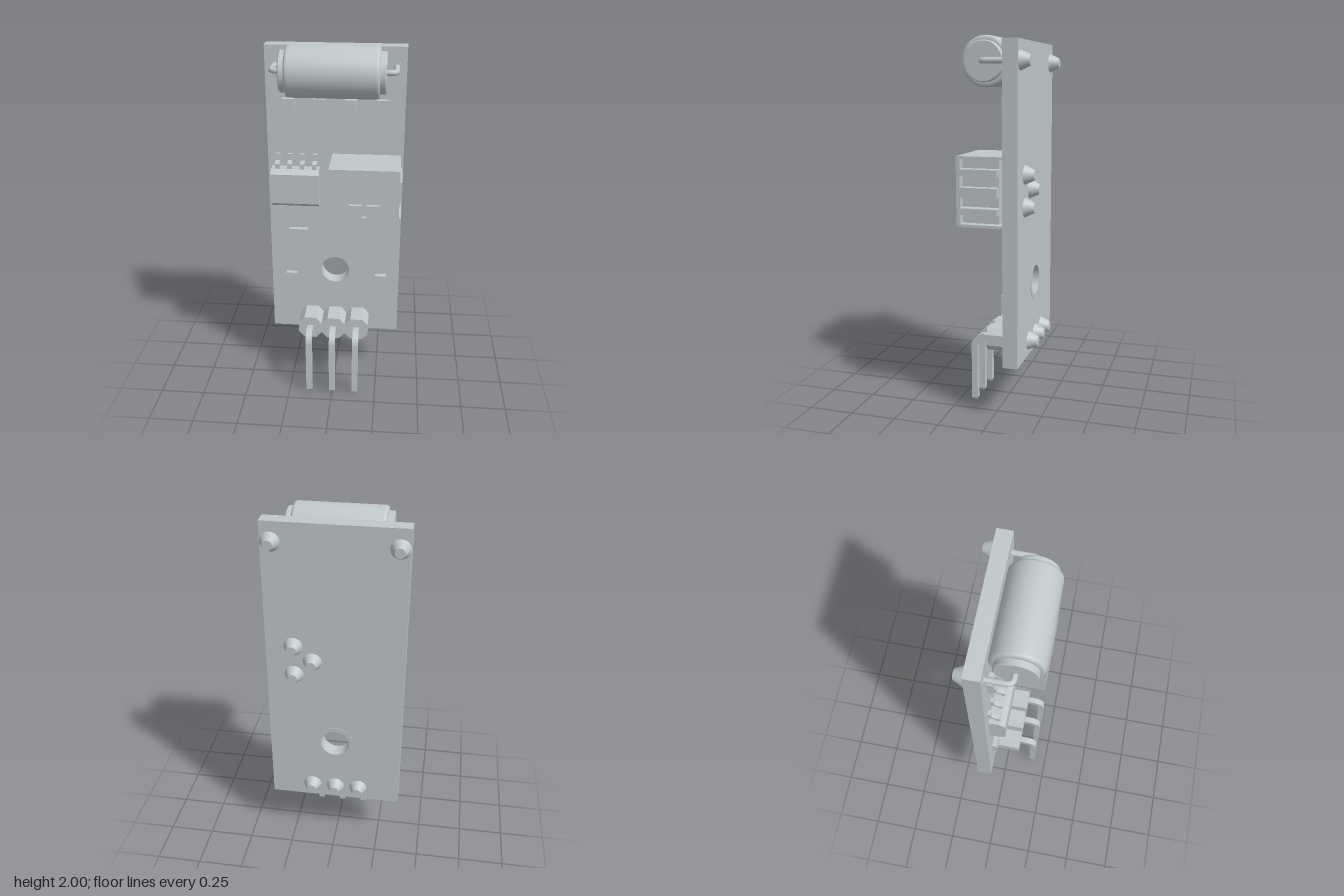
import * as THREE from 'three';
import { toCreasedNormals } from 'three/addons/utils/BufferGeometryUtils.js';

export function createModel() {
  const model = new THREE.Group();
  const grey = new THREE.MeshStandardMaterial({ color: 0xc0c8cb });
  grey.name = 'pale grey';

  const add = (name, geometry, x = 0, y = 0, z = 0) => {
    const mesh = new THREE.Mesh(geometry, grey);
    mesh.name = name;
    mesh.position.set(x, y, z);
    model.add(mesh);
    return mesh;
  };
  // Box given by its limits
  const box = (name, x0, x1, y0, y1, z0, z1) =>
    add(name, new THREE.BoxGeometry(x1 - x0, y1 - y0, z1 - z0), (x0 + x1) / 2, (y0 + y1) / 2, (z0 + z1) / 2);
  const outline = (pts) => new THREE.Shape(pts.map(([x, y]) => new THREE.Vector2(x, y)));
  const extrude = (shape, depth) =>
    toCreasedNormals(new THREE.ExtrudeGeometry(shape, { depth, bevelEnabled: false, curveSegments: 16 }), 0.6);
  // Outline drawn in (z, y), extruded along x about its centre
  const sideExtrude = (name, shape, width, x) => {
    const geometry = extrude(shape, width);
    geometry.translate(0, 0, -width / 2);
    geometry.rotateY(-Math.PI / 2);
    return add(name, geometry, x);
  };
  const FRONT = -0.065, BACK = -0.145;

  // Circuit board with mounting hole
  const board = outline([[-0.367, 0.3], [0.367, 0.3], [0.367, 1.975], [-0.367, 1.975]]);
  board.holes.push(new THREE.Path().absarc(0, 0.69, 0.08, 0, Math.PI * 2, true));
  add('board', extrude(board, FRONT - BACK), 0, 0, BACK);
  const ring = new THREE.Shape().absarc(0, 0.69, 0.105, 0, Math.PI * 2);
  ring.holes.push(new THREE.Path().absarc(0, 0.69, 0.08, 0, Math.PI * 2, true));
  add('holeRingBack', extrude(ring, 0.002), 0, 0, BACK - 0.002);

  // Solder joints on the back
  const joints = [[-0.315, 1.872], [0.315, 1.872], [0.22, 1.3], [0.12, 1.215], [0.22, 1.13],
    [-0.133, 0.38], [0, 0.38], [0.133, 0.38]];
  for (const [x, y] of joints) {
    const cone = new THREE.CylinderGeometry(0.026, 0.051, 0.053, 24);
    cone.rotateX(-Math.PI / 2);
    add('solderJoint', cone, x, y, BACK - 0.0265);
  }

  // Tilt sensor can: rounded barrel with stepped ends
  const can = [[0, -0.267], [0.1, -0.267], [0.105, -0.262], [0.105, -0.236], [0.117, -0.236], [0.125, -0.232],
    [0.129, -0.225], [0.13, -0.216]];
  const profile = [...can, ...can.map(([r, h]) => [r, -h]).reverse()].map(([r, h]) => new THREE.Vector2(r, h));
  const barrel = toCreasedNormals(new THREE.LatheGeometry(profile, 48), 0.7);
  barrel.rotateZ(-Math.PI / 2);
  add('sensorCan', barrel, 0, 1.871, 0.065);

  // Bent leads of the can
  for (const s of [-1, 1]) {
    const v = (x, z) => new THREE.Vector3(s * x, 1.872, z);
    const path = new THREE.CurvePath();
    path.add(new THREE.LineCurve3(v(0.255, 0.063), v(0.285, 0.063)));
    path.add(new THREE.QuadraticBezierCurve3(v(0.285, 0.063), v(0.315, 0.063), v(0.315, 0.033)));
    path.add(new THREE.LineCurve3(v(0.315, 0.033), v(0.315, -0.08)));
    add('sensorLead', new THREE.TubeGeometry(path, 32, 0.015, 12));
    const pad = new THREE.CylinderGeometry(0.025, 0.025, 0.004, 20);
    pad.rotateX(Math.PI / 2);
    add('leadPad', pad, s * 0.315, 1.872, FRONT + 0.001);
  }

  // Small surface-mounted parts
  const chip = (x, y, w, h) => box('chipComponent', x - w / 2, x + w / 2, y - h / 2, y + h / 2, FRONT, -0.037);
  for (const x of [-0.246, -0.082, 0.081, 0.246]) chip(x, 1.65, 0.064, 0.103);
  for (const x of [-0.207, 0.224]) chip(x, 0.92, 0.103, 0.064);
  for (const x of [-0.252, 0.262]) chip(x, 0.62, 0.064, 0.103);

  // Eight-legged chip with chamfered long edges
  sideExtrude('icBody', outline([[-0.055, 1.115], [0.003, 1.115], [0.03, 1.137], [0.03, 1.303],
    [0.003, 1.325], [-0.055, 1.325]]), 0.26, -0.213);
  const dot = new THREE.CylinderGeometry(0.015, 0.015, 0.003, 20);
  dot.rotateX(Math.PI / 2);
  add('icMark', dot, -0.317, 1.159, 0.03);
  for (const x of [-0.31, -0.243, -0.175, -0.109]) {
    for (const s of [-1, 1]) {
      const leg = [[-0.003, 0.09], [-0.003, 0.135], [-0.044, 0.143], [-0.044, 0.178],
        [-0.063, 0.178], [-0.063, 0.128], [-0.022, 0.119], [-0.022, 0.09]].map(([z, d]) => [z, 1.218 + s * d]);
      sideExtrude('icLeg', outline(leg), 0.024, x);
    }
  }

  // Trimmer: face with cross slot, body, ribbed right side
  const face = outline([[-0.015, 1.035], [0.352, 1.035], [0.352, 1.4], [-0.015, 1.4]]);
  const a = 0.08, b = 0.0125;
  const cross = [[a, b], [a, -b], [b, -b], [b, -a], [-b, -a], [-b, -b], [-a, -b], [-a, b], [-b, b], [-b, a], [b, a], [b, b]];
  face.holes.push(new THREE.Path(cross.map(([x, y]) => new THREE.Vector2(0.17 + x, 1.217 + y))));
  add('trimmerFace', extrude(face, 0.02), 0, 0, 0.165);
  box('trimmerBody', -0.015, 0.305, 1.035, 1.4, -0.03, 0.165);
  for (const y of [1.035, 1.385]) box('trimmerWall', -0.015, 0.352, y, y + 0.015, -0.06, 0.166);
  box('trimmerRib', 0.3, 0.352, 1.19, 1.24, -0.03, 0.166);
  for (const y of [1.1, 1.3]) box('trimmerRib', 0.3, 0.363, y, y + 0.035, -0.035, 0.17);
  for (const [x, y] of joints.slice(2, 5)) {
    const pin = new THREE.CylinderGeometry(0.016, 0.016, 0.05, 12);
    pin.rotateX(Math.PI / 2);
    add('trimmerPin', pin, x, y, -0.048);
  }

  // Header block: three joined octagons
  const top = [], bottom = [];
  for (const x of [-0.133, 0, 0.133]) {
    top.unshift([x + 0.0665, 0.41], [x + 0.034, 0.445], [x - 0.034, 0.445]);
    bottom.push([x - 0.0665, 0.35], [x - 0.034, 0.315], [x + 0.034, 0.315]);
  }
  const block = outline([...bottom, [0.1995, 0.35], ...top, [-0.1995, 0.41]]);
  const blockGeometry = new THREE.ExtrudeGeometry(block, { depth: 0.135, bevelEnabled: false });
  add('headerBlock', blockGeometry, 0, 0, -0.055);

  // Right-angle pins with tapered tips
  const pin = new THREE.Shape();
  pin.moveTo(-0.08, 0.36);
  pin.lineTo(0.109, 0.36);
  pin.absarc(0.109, 0.322, 0.038, Math.PI / 2, 0, true);
  pin.lineTo(0.147, 0.015);
  pin.lineTo(0.181, 0.015);
  pin.lineTo(0.181, 0.322);
  pin.absarc(0.109, 0.322, 0.072, 0, Math.PI / 2, false);
  pin.lineTo(-0.08, 0.394);
  for (const x of [-0.133, 0, 0.133]) {
    sideExtrude('headerPin', pin, 0.034, x);
    const tip = new THREE.CylinderGeometry(0.024, 0.014, 0.015, 4).toNonIndexed();
    tip.rotateY(Math.PI / 4);
    tip.computeVertexNormals();
    add('headerPinTip', tip, x, 0.0075, 0.164);
  }
  return model;
}
